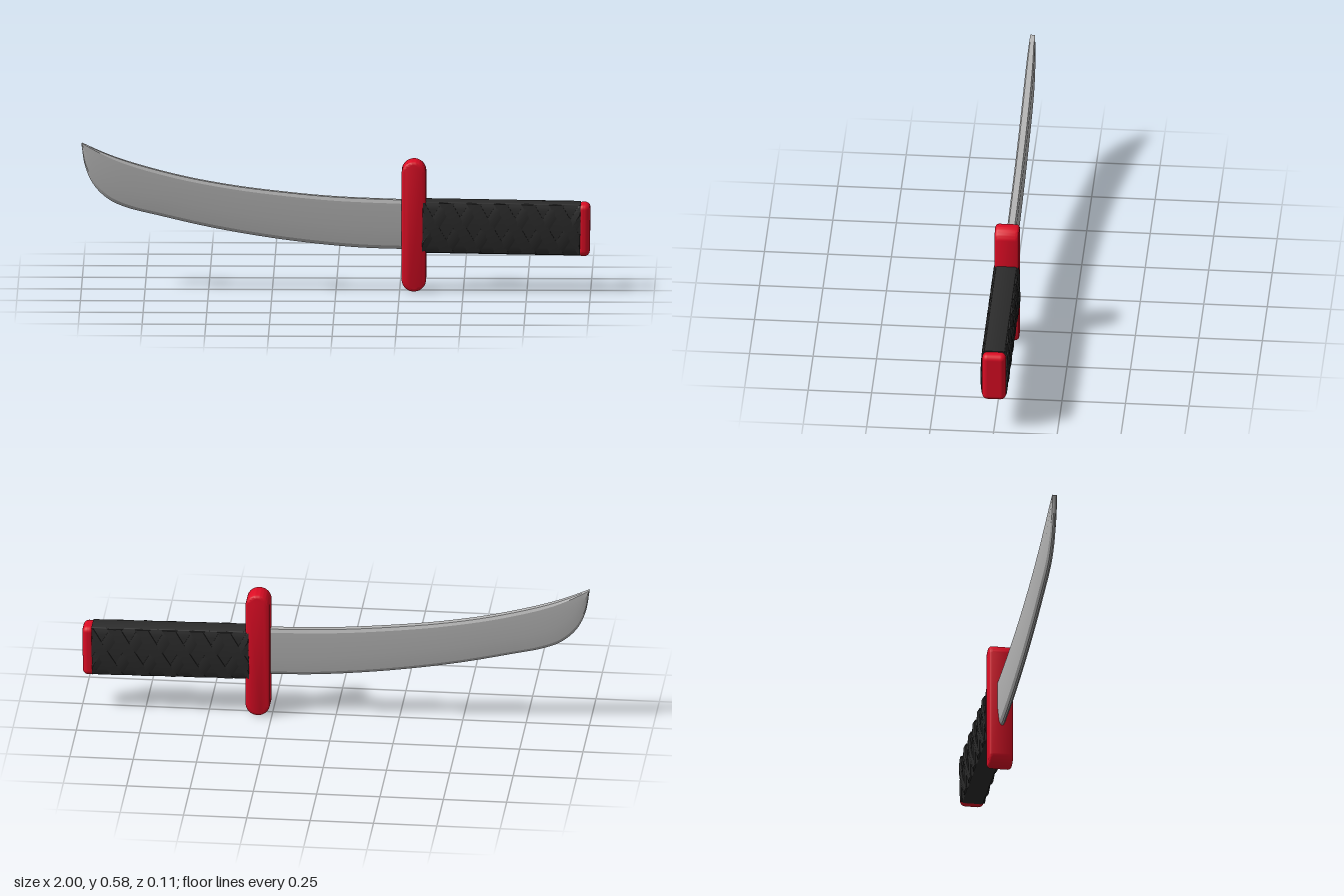
import * as THREE from 'three';
import { toCreasedNormals } from 'three/addons/utils/BufferGeometryUtils.js';
import { RoundedBoxGeometry } from 'three/addons/geometries/RoundedBoxGeometry.js';

const material = (name, color) => {
  const m = new THREE.MeshStandardMaterial({ color });
  m.name = name;
  return m;
};

function part(name, geometry, mat, x = 0, y = 0, z = 0) {
  const mesh = new THREE.Mesh(geometry, mat);
  mesh.name = name;
  mesh.position.set(x, y, z);
  return mesh;
}

// Blade skinned over cross-sections: spine and edge curves, narrowing at the tip
function bladeGeometry() {
  const curve = (pts) => new THREE.CatmullRomCurve3(pts.map(([x, y]) => new THREE.Vector3(x, y, 0)));
  const spine = curve([[0.29, 0.36], [0, 0.372], [-0.2, 0.39], [-0.4, 0.415], [-0.6, 0.452],
    [-0.8, 0.505], [-0.9, 0.54], [-0.998, 0.584]]);
  const edge = curve([[0.29, 0.164], [0.1, 0.17], [-0.1, 0.188], [-0.3, 0.215], [-0.5, 0.251],
    [-0.7, 0.297], [-0.82, 0.327], [-0.89, 0.358], [-0.95, 0.415], [-0.985, 0.49], [-1, 0.58]]);
  // [fraction from edge to spine, half thickness]
  const half = [[0, 0.004], [0.07, 0.012], [0.4, 0.019], [0.93, 0.018], [1, 0.012]];
  const ring = [...half, ...half.slice().reverse().map(([v, z]) => [v, -z])];
  const n = 48, k = ring.length, pos = [], idx = [];
  for (let i = 0; i <= n; i++) {
    const t = i / n, a = edge.getPoint(t), b = spine.getPoint(t);
    const s = 1 - 0.5 * t ** 6;
    for (const [v, z] of ring) {
      const p = a.clone().lerp(b, v);
      pos.push(p.x, p.y, z * s + 0.002);
    }
  }
  for (let i = 0; i < n; i++) for (let j = 0; j < k; j++) {
    const a = i * k + j, b = i * k + (j + 1) % k;
    idx.push(a, b, a + k, b, b + k, a + k);
  }
  for (let j = 1; j < k - 1; j++) {
    idx.push(0, j + 1, j, n * k, n * k + j, n * k + j + 1);
  }
  const g = new THREE.BufferGeometry();
  g.setAttribute('position', new THREE.Float32BufferAttribute(pos, 3));
  g.setIndex(idx);
  return toCreasedNormals(g, 0.35);
}

// Capsule-shaped guard with softened rims
function guardGeometry() {
  const r = 0.034, h = 0.212, bevel = 0.014, depth = 0.068;
  const s = new THREE.Shape();
  s.absarc(0, h, r, 0, Math.PI);
  s.absarc(0, -h, r, Math.PI, Math.PI * 2);
  s.closePath();
  const g = new THREE.ExtrudeGeometry(s, {
    depth, bevelEnabled: true, bevelSize: bevel, bevelThickness: bevel, bevelSegments: 4, curveSegments: 12,
  });
  g.translate(0, 0, -depth / 2);
  return toCreasedNormals(g, 0.6);
}

// Grip core with gently bulging sides
function gripGeometry(length) {
  const s = new THREE.Shape();
  s.moveTo(-0.032, -0.103);
  s.lineTo(0.032, -0.103);
  s.quadraticCurveTo(0.042, -0.103, 0.043, -0.09);
  s.quadraticCurveTo(0.056, 0, 0.043, 0.09);
  s.quadraticCurveTo(0.042, 0.103, 0.032, 0.103);
  s.lineTo(-0.032, 0.103);
  s.quadraticCurveTo(-0.042, 0.103, -0.043, 0.09);
  s.quadraticCurveTo(-0.056, 0, -0.043, -0.09);
  s.quadraticCurveTo(-0.042, -0.103, -0.032, -0.103);
  const g = new THREE.ExtrudeGeometry(s, { depth: length, bevelEnabled: false, curveSegments: 10 });
  g.translate(0, 0, -length / 2);
  g.rotateY(Math.PI / 2);
  return toCreasedNormals(g, 0.6);
}

// Slanted wrap band that follows the bulge of the grip
function bandGeometry(x0, slant, lift, length) {
  const g = new THREE.BoxGeometry(0.052, 0.196, 0.008, 2, 10, 1);
  const p = g.attributes.position;
  for (let i = 0; i < p.count; i++) {
    const y = p.getY(i), u = p.getX(i);
    const x = THREE.MathUtils.clamp(x0 + u + slant * y, -length / 2, length / 2);
    const crown = 0.003 * (1 - Math.abs(u) / 0.026);
    const z = 0.043 + 0.0065 * (1 - (y / 0.09) ** 2) + p.getZ(i) + crown + lift;
    p.setXYZ(i, x, y, z);
  }
  return toCreasedNormals(g, 0.3);
}

export function createModel() {
  const steel = material('steel', 0xb4b4b4);
  const red = material('red', 0xdc0c24);
  const black = material('black wrap', 0x2b2b2b);
  const model = new THREE.Group();
  model.name = 'sword';

  model.add(part('blade', bladeGeometry(), steel));
  model.add(part('guard', guardGeometry(), red, 0.306, 0.26));

  // Handle, tilted slightly down toward the pommel
  const handle = new THREE.Group();
  handle.name = 'handle';
  handle.position.set(0.65, 0.253, 0);
  handle.rotation.z = -0.015;
  const length = 0.62;
  handle.add(part('grip', gripGeometry(length), black));

  // Crossing bands on both faces
  const pitch = 0.108;
  for (const side of [0, Math.PI]) {
    const wrap = new THREE.Group();
    wrap.name = side ? 'backWrap' : 'frontWrap';
    wrap.rotation.y = side;
    for (let i = 0; i < 6; i++) {
      const x = (i - 2.5) * pitch;
      wrap.add(part('wrapBand', bandGeometry(x, 0.6, -0.001, length), black));
      wrap.add(part('wrapBand', bandGeometry(x, -0.6, 0.0005, length), black));
    }
    handle.add(wrap);
  }
  model.add(handle);

  // End cap
  const pommel = part('pommel', new RoundedBoxGeometry(0.05, 0.208, 0.094, 4, 0.022), red, 0.973, 0.246);
  pommel.rotation.z = -0.015;
  model.add(pommel);
  return model;
}
